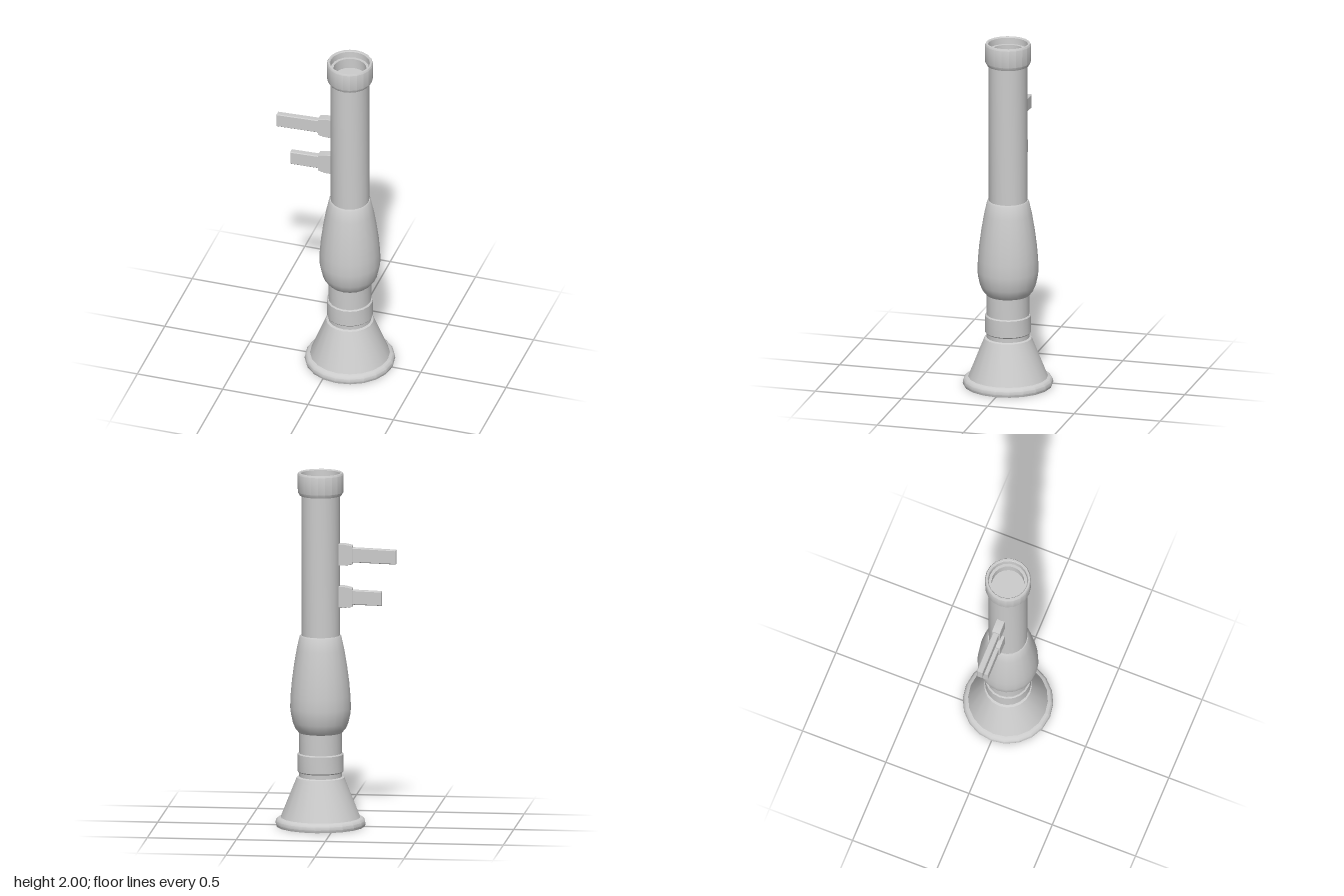
import * as THREE from 'three';
import { toCreasedNormals } from 'three/addons/utils/BufferGeometryUtils.js';

const AXIS_X = 0.085;
const SIDES = 20;

export function createModel() {
  const model = new THREE.Group();
  const material = new THREE.MeshStandardMaterial({ color: 0xcccccc });

  function add(name, geometry, x = 0) {
    const mesh = new THREE.Mesh(toCreasedNormals(geometry, 0.55), material);
    mesh.name = name;
    mesh.position.x = x;
    model.add(mesh);
  }

  // Turned part around the tube axis, profile given as [radius, height]
  function turned(name, profile) {
    const points = profile.map(([r, y]) => new THREE.Vector2(r, y));
    add(name, new THREE.LatheGeometry(points, SIDES), AXIS_X);
  }

  // Flat plate: outline in x/y, extruded symmetrically in z
  function plate(name, outline, depth, bevel) {
    const shape = new THREE.Shape(outline.map(([x, y]) => new THREE.Vector2(x, y)));
    const geometry = new THREE.ExtrudeGeometry(shape, {
      depth: depth - 2 * bevel, bevelEnabled: true, bevelSegments: 1,
      bevelSize: bevel, bevelThickness: bevel, bevelOffset: -bevel,
    });
    geometry.translate(0, 0, -depth / 2 + bevel - 0.001);
    add(name, geometry);
  }

  // Hollow exhaust bell with a rolled lip
  turned('exhaustBell', [
    [0, 0.28], [0.105, 0.28], [0.195, 0.03], [0.195, 0], [0.248, 0],
    [0.253, 0.015], [0.25, 0.032], [0.24, 0.044], [0.223, 0.05],
    [0.139, 0.26], [0.133, 0.275], [0.12, 0.28],
  ]);

  // Narrow neck and its raised collar
  turned('neck', [[0.12, 0.27], [0.12, 0.55]]);
  turned('collar', [
    [0.115, 0.305], [0.124, 0.305], [0.129, 0.311], [0.129, 0.407],
    [0.124, 0.413], [0.115, 0.413],
  ]);

  // Swollen heat shield
  turned('heatShield', [
    [0.11, 0.53], [0.122, 0.53], [0.143, 0.555], [0.157, 0.588], [0.167, 0.635],
    [0.171, 0.67], [0.168, 0.74], [0.161, 0.82], [0.149, 0.91], [0.134, 1.0],
    [0.118, 1.072], [0.113, 1.08], [0.1, 1.08],
  ]);

  // Launch tube
  turned('tube', [[0.108, 1.06], [0.108, 1.9]]);

  // Muzzle ring with a stepped recess
  turned('muzzleRing', [
    [0.1, 1.873], [0.118, 1.873], [0.128, 1.892], [0.129, 1.99], [0.124, 2],
    [0.114, 2], [0.11, 1.995], [0.108, 1.96], [0.092, 1.96], [0.092, 1.9], [0, 1.9],
  ]);

  // Folding sights: a mount on the tube and a slightly tilted bar each
  for (const [name, y, tip, drop] of [
    ['frontSight', 1.54, -0.34, 0.01],
    ['rearSight', 1.3, -0.26, 0.006],
  ]) {
    plate(name + 'Mount', [
      [-0.096, y - 0.054], [-0.05, y - 0.061], [0, y - 0.061],
      [0, y + 0.061], [-0.05, y + 0.061], [-0.096, y + 0.051],
    ], 0.047, 0.002);
    plate(name + 'Bar', [
      [tip, y - 0.04 - drop], [-0.08, y - 0.042],
      [-0.08, y + 0.04], [tip, y + 0.04 - drop],
    ], 0.035, 0.004);
  }

  return model;
}
